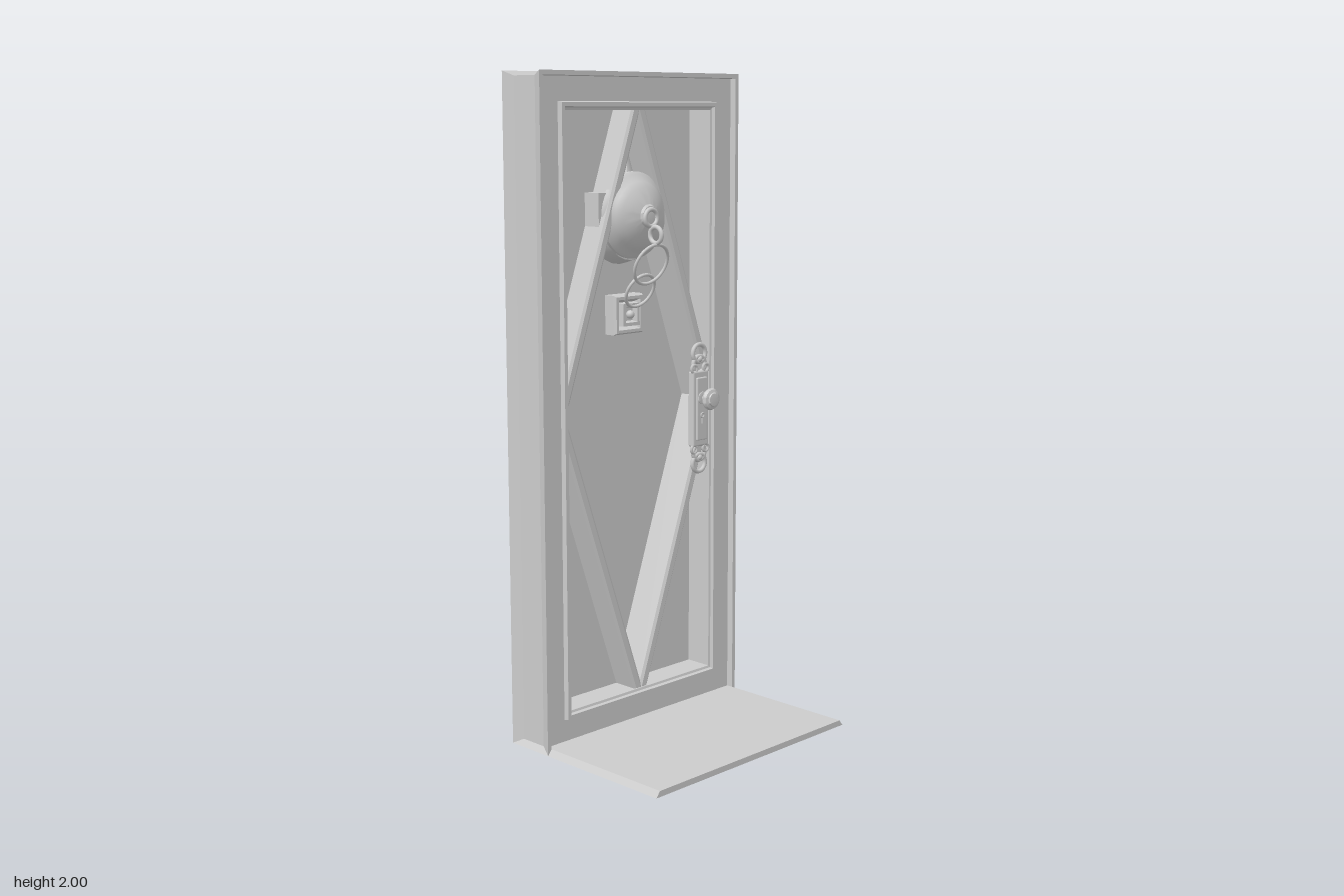
import * as THREE from 'three';
import { RoundedBoxGeometry } from 'three/addons/geometries/RoundedBoxGeometry.js';
import { toCreasedNormals } from 'three/addons/utils/BufferGeometryUtils.js';

const grey = new THREE.MeshStandardMaterial({ color: 0xcccccc });
const W = 0.41, H = 2, SLOPE = 2.9;

function add(parent, name, geometry, x = 0, y = 0, z = 0) {
  const m = new THREE.Mesh(geometry, grey);
  m.name = name;
  m.position.set(x, y, z);
  parent.add(m);
  return m;
}

// Skin between successive closed loops of [x, y, z]; loops run counter-clockwise seen from +z
function loft(loops, closed = false) {
  const pos = [], n = loops[0].length;
  const last = closed ? loops.length : loops.length - 1;
  for (let i = 0; i < last; i++) {
    const a = loops[i], b = loops[(i + 1) % loops.length];
    for (let k = 0; k < n; k++) {
      const l = (k + 1) % n;
      pos.push(...a[k], ...a[l], ...b[l], ...a[k], ...b[l], ...b[k]);
    }
  }
  const g = new THREE.BufferGeometry();
  g.setAttribute('position', new THREE.Float32BufferAttribute(pos, 3));
  g.computeVertexNormals();
  return g;
}

// Rectangle inset from the outer size of the frame
const rect = (d, z) => [[d - W, d, z], [W - d, d, z], [W - d, H - d, z], [d - W, H - d, z]];
// Tall diamond around the middle of the door
const diamond = (w, z) => [[0, 1 - w * SLOPE, z], [w, 1, z], [0, 1 + w * SLOPE, z], [-w, 1, z]];

function lathe(points, segments = 32) {
  const g = new THREE.LatheGeometry(points.map(p => new THREE.Vector2(...p)), segments);
  g.rotateX(Math.PI / 2); // axis toward +z
  return toCreasedNormals(g, 0.6);
}

function makeFrame(root) {
  // moulded frame with waisted outer sides
  const profile = [
    [0, -0.12], [0.013, -0.12], [0.015, -0.14], [0.085, -0.14], [0.088, -0.125],
    [0.1, -0.125], [0.103, -0.135], [0.11, -0.137], [0.11, -0.25], [0.103, -0.264],
    [0.1, -0.275], [0.088, -0.275], [0.085, -0.26], [0.015, -0.26], [0.013, -0.28],
    [0, -0.28], [0.014, -0.245], [0.014, -0.155],
  ];
  add(root, 'doorFrame', loft(profile.map(p => rect(...p)), true));

  // threshold slab with bevelled sides
  const s = new THREE.Shape([[-W, 0], [W, 0], [W - 0.014, 0.018], [0.014 - W, 0.018]]
    .map(p => new THREE.Vector2(...p)));
  add(root, 'threshold', new THREE.ExtrudeGeometry(s, { depth: 0.615, bevelEnabled: false }), 0, 0, -0.28);
}

function makeDoor(root) {
  add(root, 'doorPanel', new THREE.BoxGeometry(0.61, 1.79, 0.025), 0, 1, -0.2375);

  // deep diamond ridge on the front
  add(root, 'frontDiamond', loft([
    diamond(0.336, -0.226), diamond(0.336, -0.148), diamond(0.328, -0.142), diamond(0.309, -0.142),
    diamond(0.3, -0.148), diamond(0.265, -0.226),
  ]));

  // shallow panelled face on the back, with a diamond and four corner triangles cut out
  const back = new THREE.Group();
  back.name = 'backFace';
  back.rotation.y = Math.PI;
  const face = new THREE.Shape([[-0.305, 0.105], [0.305, 0.105], [0.305, 1.895], [-0.305, 1.895]]
    .map(p => new THREE.Vector2(...p)));
  face.holes.push(new THREE.Path(diamond(0.275, 0).map(p => new THREE.Vector2(p[0], p[1]))));
  for (const sx of [-1, 1]) for (const sy of [-1, 1]) {
    const corner = (k) => [[0.24, 0.855], [0.053, 0.855], [0.24, 0.3]]
      .map(([x, y]) => [sx * (0.178 + (x - 0.178) * k), 1 + sy * (0.67 + (y - 0.67) * k)]);
    face.holes.push(new THREE.Path(corner(1).map(p => new THREE.Vector2(...p))));
    const lip = (k, z) => {
      const c = corner(k).map(([x, y]) => [x, y, z]);
      return sx * sy > 0 ? c : c.reverse();
    };
    add(back, 'triangleMoulding', loft([lip(1.06, 0.26), lip(1.05, 0.265), lip(1, 0.265), lip(0.93, 0.25)]));
  }
  add(back, 'backStiles', new THREE.ExtrudeGeometry(face, { depth: 0.011, bevelEnabled: false }), 0, 0, 0.25);
  add(back, 'backDiamond', loft([
    diamond(0.302, 0.26), diamond(0.3, 0.269), diamond(0.282, 0.269), diamond(0.272, 0.25),
  ]));
  root.add(back);
}

// Knob with plate and ring ornaments, facing +z from the plate surface
function makeLock(name) {
  const g = new THREE.Group();
  g.name = name;
  add(g, 'plate', new RoundedBoxGeometry(0.07, 0.24, 0.024, 2, 0.006), 0, -0.035, -0.016);
  add(g, 'innerPlate', new RoundedBoxGeometry(0.046, 0.2, 0.012, 2, 0.004), 0, -0.035, -0.004);
  for (const s of [-1, 1]) {
    for (const [y, r] of [[0.14, 0.026], [0.175, 0.028]]) {
      add(g, 'ringOrnament', new THREE.TorusGeometry(r, 0.007, 8, 24), 0, -0.035 + s * y, -0.014);
    }
    for (const x of [-0.026, 0.026]) {
      add(g, 'scroll', new THREE.TorusGeometry(0.012, 0.005, 6, 16), x, -0.035 + s * 0.128, -0.01);
    }
    add(g, 'bead', new THREE.SphereGeometry(0.011, 14, 10), 0, -0.035 + s * 0.157, -0.013);
  }
  add(g, 'keyhole', new THREE.TorusGeometry(0.007, 0.003, 6, 14), 0, -0.055, 0.002);
  add(g, 'keySlot', new THREE.BoxGeometry(0.008, 0.018, 0.006), 0, -0.072, 0.002);
  add(g, 'knob', lathe([
    [0, 0], [0.02, 0], [0.02, 0.005], [0.009, 0.008], [0.008, 0.022], [0.02, 0.024],
    [0.032, 0.031], [0.035, 0.038], [0.031, 0.046], [0.022, 0.049], [0.02, 0.053], [0, 0.055],
  ]));
  return g;
}

function makeKnocker(root) {
  const g = new THREE.Group();
  g.name = 'knocker';
  g.position.x = -0.006;
  // domed boss with its backing
  add(g, 'dome', lathe([
    [0, -0.225], [0.1, -0.225], [0.115, -0.175], [0.13, -0.17], [0.13, -0.158], [0.122, -0.149],
    [0.105, -0.138], [0.102, -0.133], [0.085, -0.12], [0.06, -0.106], [0.035, -0.097], [0.03, -0.09], [0, -0.086],
  ], 40), 0, 1.58, 0);
  add(g, 'sideBacking', new THREE.BoxGeometry(0.28, 0.12, 0.06), 0, 1.59, -0.195);
  const lower = add(g, 'lowerBacking', new THREE.CylinderGeometry(0.105, 0.12, 0.05, 24), 0, 1.55, -0.198);
  lower.rotation.x = Math.PI / 2;
  const spike = add(g, 'topSpike', new THREE.ConeGeometry(0.025, 0.1, 4), 0, 1.73, -0.19);
  spike.rotation.y = Math.PI / 4;

  // linked rings
  const ring = (name, r, t, y, z, rx, ry) => {
    const m = add(g, name, new THREE.TorusGeometry(r, t, 10, 36), 0, y, z);
    m.rotation.set(rx, ry, 0);
  };
  ring('eyeRing', 0.025, 0.007, 1.575, -0.088, 0, 0);
  ring('linkRing', 0.024, 0.007, 1.525, -0.068, 0, Math.PI / 2);
  ring('knockerRing', 0.065, 0.005, 1.437, -0.088, 0.4, 0);
  ring('lowerRing', 0.055, 0.005, 1.355, -0.135, 0.45, 0);

  // square striker block with a sunken centre
  const sq = (h, z) => [[-h, 1.28 - h, z], [h, 1.28 - h, z], [h, 1.28 + h, z], [-h, 1.28 + h, z]];
  add(g, 'striker', loft([
    sq(0.06, -0.225), sq(0.06, -0.19), sq(0.055, -0.18), sq(0.046, -0.18), sq(0.036, -0.2),
    sq(0.034, -0.172), sq(0.024, -0.172), sq(0.02, -0.19), sq(0, -0.19),
  ]));
  add(g, 'strikerStud', new THREE.SphereGeometry(0.013, 16, 10), 0, 1.28, -0.178);
  root.add(g);
}

export function createModel() {
  const root = new THREE.Group();
  root.name = 'door';
  makeFrame(root);
  makeDoor(root);
  makeKnocker(root);
  const front = makeLock('frontLock');
  front.position.set(0.253, 1, -0.123);
  const rear = makeLock('backLock');
  rear.position.set(0.243, 1, -0.283);
  rear.rotation.y = Math.PI;
  root.add(front, rear);
  return root;
}
